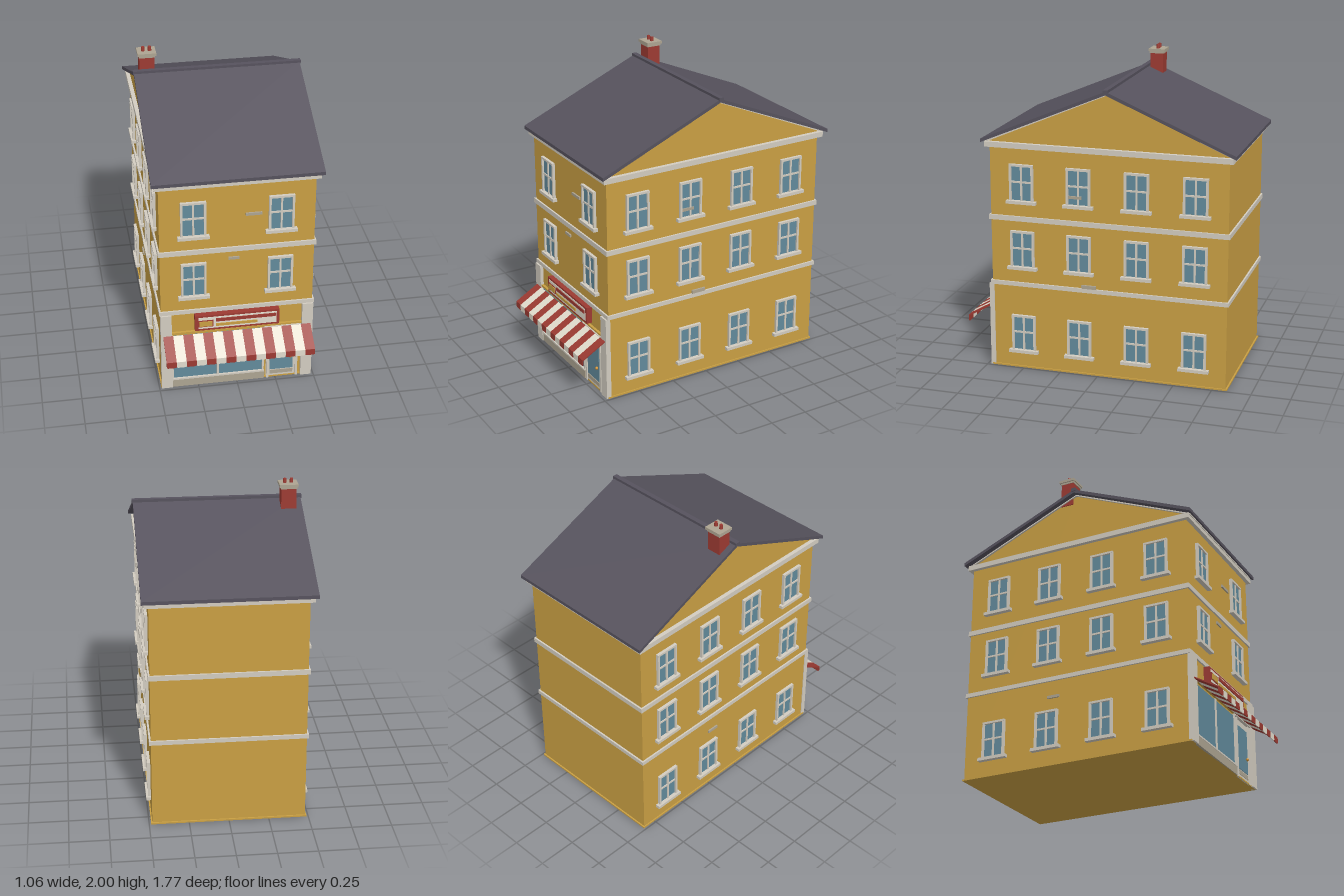
import * as THREE from 'three';

const mat = (name, color) => {
  const m = new THREE.MeshStandardMaterial({ color });
  m.name = name;
  return m;
};

export function createModel() {
  const M = {
    wall: mat('ochre wall', 0xc99f43),
    trim: mat('pale trim', 0xd2ccc0),
    glass: mat('blue glass', 0x628a9b),
    slate: mat('slate', 0x56525d),
    red: mat('red', 0x9c3a32),
    cream: mat('cream cloth', 0xe2dccd),
    stone: mat('stone', 0xada491),
    brass: mat('brass', 0xd0902f),
  };
  const root = new THREE.Group();
  root.name = 'cornerShop';

  const mesh = (name, geo, m, parent = root) => {
    const o = new THREE.Mesh(geo, m);
    o.name = name;
    parent.add(o);
    return o;
  };
  // Box given by its minimum and maximum on each axis
  const box = (name, m, x0, x1, y0, y1, z0, z1, parent = root) => {
    const o = mesh(name, new THREE.BoxGeometry(x1 - x0, y1 - y0, z1 - z0), m, parent);
    o.position.set((x0 + x1) / 2, (y0 + y1) / 2, (z0 + z1) / 2);
    return o;
  };
  // Profile of [z, y] points extruded across the width
  const across = (name, m, points, halfWidth) => {
    const shape = new THREE.Shape(points.map(([z, y]) => new THREE.Vector2(-z, y)));
    const geo = new THREE.ExtrudeGeometry(shape, { depth: halfWidth * 2, bevelEnabled: false });
    geo.translate(0, 0, -halfWidth).rotateY(Math.PI / 2);
    return mesh(name, geo, m);
  };

  const X = 0.48, ZF = 0.706, ZB = -0.834, ZR = -0.066;

  // Walls with gables, and plinth
  across('walls', M.wall, [[ZF, 0], [ZF, 1.5], [ZR, 1.835], [ZB, 1.5], [ZB, 0]], X);
  box('plinth', M.wall, -X - 0.008, X + 0.008, 0, 0.01, ZB - 0.01, ZF + 0.01);

  // Mouldings running round the building
  for (const [y0, y1, out] of [[0.555, 0.582, 0.011], [0.988, 1.02, 0.011], [1.463, 1.497, 0.026]]) {
    box('stringCourse', M.trim, -X - out, X + out, y0, y1, ZB - out, ZF + out);
  }

  // Roof slabs, pale soffit edge and ridge
  const roofBand = (name, m, bottom, top, w, inset) => across(name, m, [
    [0.75 - inset, 1.495 + bottom], [0.75 - inset, 1.495 + top], [ZR, 1.84 + top],
    [-0.882 + inset, 1.495 + top], [-0.882 + inset, 1.495 + bottom], [ZR, 1.84 + bottom]], w);
  roofBand('roof', M.slate, 0, 0.022, 0.525, 0);
  roofBand('gableEdge', M.trim, -0.008, 0.001, 0.492, 0.012);
  box('ridge', M.slate, -0.531, 0.531, 1.85, 1.872, -0.083, -0.052);

  // Chimney
  box('chimneyStack', M.red, -0.485, -0.39, 1.78, 1.945, -0.178, -0.093);
  box('chimneyNeck', M.stone, -0.488, -0.386, 1.943, 1.957, -0.183, -0.088);
  box('chimneyCap', M.stone, -0.495, -0.378, 1.956, 1.973, -0.191, -0.083);
  for (const x of [-0.457, -0.415]) {
    mesh('chimneyPot', new THREE.CylinderGeometry(0.01, 0.012, 0.03, 12), M.red).position.set(x, 1.985, -0.137);
  }

  // Casement window facing local +z, origin at its bottom centre
  const windowAt = (x, y, z, turn) => {
    const g = new THREE.Group();
    g.name = 'window';
    box('pane', M.glass, -0.07, 0.07, 0.01, 0.23, 0, 0.006, g);
    for (const s of [-1, 1]) {
      box('frameSide', M.trim, s * 0.072 - 0.007, s * 0.072 + 0.007, 0, 0.243, 0, 0.018, g);
    }
    box('frameTop', M.trim, -0.079, 0.079, 0.229, 0.243, 0, 0.019, g);
    box('mullion', M.trim, -0.006, 0.006, 0, 0.235, 0, 0.013, g);
    box('transom', M.trim, -0.07, 0.07, 0.122, 0.134, 0, 0.012, g);
    box('sill', M.trim, -0.098, 0.098, -0.012, 0.008, 0, 0.03, g);
    g.position.set(x, y, z);
    g.rotation.y = turn;
    root.add(g);
  };
  for (const y of [0.117, 0.682, 1.117]) {
    for (const z of [0.497, 0.122, -0.254, -0.628]) {
      windowAt(X, y, z, Math.PI / 2);
      windowAt(-X, y, z, -Math.PI / 2);
    }
    if (y > 0.5) for (const x of [-0.272, 0.27]) windowAt(x, y, ZF, 0);
  }

  // Odd stones standing proud of the walls
  box('looseStone', M.stone, 0.05, 0.15, 1.235, 1.253, ZF - 0.01, ZF + 0.01);
  box('looseStone', M.stone, -0.055, 0.012, 0.93, 0.947, ZF - 0.01, ZF + 0.01);
  box('looseStone', M.stone, X - 0.01, X + 0.014, 1.165, 1.183, 0.1, 0.19);
  box('looseStone', M.stone, X - 0.01, X + 0.012, 0.582, 0.604, 0.01, 0.105);
  box('looseStone', M.stone, -X - 0.01, -X + 0.01, 0.44, 0.458, -0.25, -0.17);

  // Shopfront pilasters, stall riser and display window
  for (const s of [-1, 1]) {
    box('pilaster', M.trim, s * 0.45 - 0.035, s * 0.45 + 0.035, 0, 0.556, ZF - 0.01, 0.728);
  }
  box('stallRiser', M.stone, -0.42, 0.18, 0, 0.056, ZF, 0.722);
  box('displayGlass', M.glass, -0.41, 0.17, 0.06, 0.39, ZF, 0.712);
  box('displaySill', M.trim, -0.415, 0.176, 0.054, 0.065, ZF, 0.725);
  for (const [x, w] of [[-0.411, 0.008], [-0.123, 0.012], [0.17, 0.012]]) {
    box('displayMullion', M.trim, x - w / 2, x + w / 2, 0.056, 0.395, ZF, 0.72);
  }
  box('fasciaMoulding', M.wall, -0.415, 0.415, 0.405, 0.42, ZF, 0.722);

  // Door
  box('door', M.trim, 0.19, 0.39, 0, 0.385, ZF, 0.714);
  box('doorGlass', M.glass, 0.215, 0.365, 0.06, 0.345, ZF, 0.718);
  box('doorKickPlate', M.stone, 0.215, 0.365, 0.025, 0.052, ZF, 0.717);
  for (const x of [0.193, 0.381]) box('doorJamb', M.trim, x, x + 0.014, 0, 0.39, ZF, 0.722);
  box('doorLintel', M.trim, 0.17, 0.41, 0.39, 0.408, ZF, 0.73);
  mesh('doorHandle', new THREE.SphereGeometry(0.01, 12, 8), M.brass).position.set(0.347, 0.155, 0.724);

  // Shop sign with plain bars
  const sign = new THREE.Group();
  sign.name = 'sign';
  root.add(sign);
  box('signBoard', M.red, -0.27, 0.265, 0.438, 0.548, ZF, 0.744, sign);
  box('signPanel', M.cream, -0.25, 0.247, 0.453, 0.535, 0.743, 0.747, sign);
  box('signBar', M.red, -0.14, 0.24, 0.502, 0.524, 0.746, 0.752, sign);
  box('signBar', M.wall, -0.14, 0.125, 0.468, 0.486, 0.746, 0.752, sign);
  box('signPlaqueRim', M.red, -0.252, -0.155, 0.467, 0.515, 0.746, 0.75, sign);
  box('signPlaque', M.wall, -0.245, -0.162, 0.473, 0.509, 0.749, 0.754, sign);

  // Striped awning: sloping strip and rounded valance for each stripe
  const awning = new THREE.Group();
  awning.name = 'awning';
  root.add(awning);
  const count = 15, w = 0.94 / count;
  const drop = 0.09, reach = 0.157;
  const flap = new THREE.Shape();
  flap.moveTo(-w / 2, 0.002).lineTo(-w / 2, -0.03);
  flap.quadraticCurveTo(-w / 2, -0.04, -w / 2 + 0.012, -0.04).lineTo(w / 2 - 0.012, -0.04);
  flap.quadraticCurveTo(w / 2, -0.04, w / 2, -0.03).lineTo(w / 2, 0.002);
  const flapGeo = new THREE.ExtrudeGeometry(flap, { depth: 0.006, bevelEnabled: false, curveSegments: 4 });
  const stripGeo = new THREE.BoxGeometry(w, 0.007, Math.hypot(drop, reach));
  for (let i = 0; i < count; i++) {
    const x = -0.47 + (i + 0.5) * w;
    const m = i % 2 ? M.cream : M.red;
    const strip = mesh('awningStripe', stripGeo, m, awning);
    strip.position.set(x, 0.402 - drop / 2, 0.727 + reach / 2);
    strip.rotation.x = Math.atan2(drop, reach);
    mesh('awningValance', flapGeo, m, awning).position.set(x, 0.314, 0.88);
  }
  return root;
}
